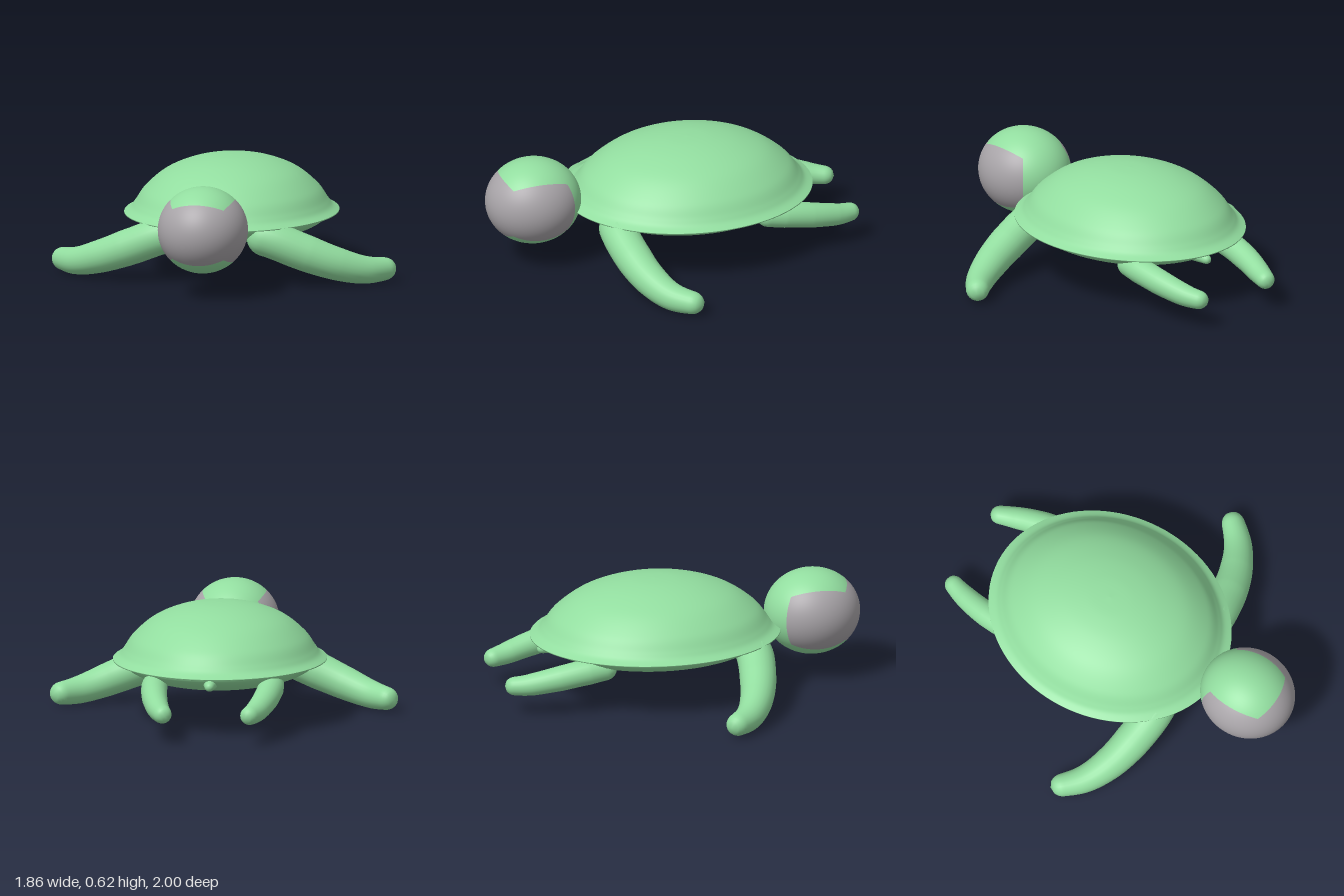
import * as THREE from 'three';
import { mergeVertices } from 'three/addons/utils/BufferGeometryUtils.js';

const green = new THREE.MeshStandardMaterial({ color: 0x92dd9f });
green.name = 'skin green';
const grey = new THREE.MeshStandardMaterial({ color: 0xa8a4a8 });
grey.name = 'face grey';

const v3 = (p, side = 1) => new THREE.Vector3(p[0] * side, p[1], p[2]);

function addMesh(parent, name, geometry, material) {
  const mesh = new THREE.Mesh(geometry, material);
  mesh.name = name;
  parent.add(mesh);
  return mesh;
}

// Lathed disc shape stretched to the oval outline of the body
function ovalLathe(points) {
  const geo = new THREE.LatheGeometry(points, 96);
  geo.scale(0.57, 1, 0.675);
  return geo.translate(0, 0, -0.12);
}

// Round limb along a curve, with changing thickness and domed ends
function limb(points, radii, side) {
  const curve = new THREE.CatmullRomCurve3(points.map((p) => v3(p, side)));
  const length = curve.getLength();
  let geo = new THREE.TubeGeometry(curve, 72, 1, 24);
  const pos = geo.attributes.position;
  const uv = geo.attributes.uv;
  const p = new THREE.Vector3();
  for (let i = 0; i < pos.count; i++) {
    const u = uv.getX(i);
    const f = Math.min(u * (radii.length - 1), radii.length - 1.0001);
    const k = Math.floor(f);
    let r = THREE.MathUtils.lerp(radii[k], radii[k + 1], f - k);
    const end = Math.min(1, (Math.min(u, 1 - u) * length) / r);
    r *= Math.sqrt(Math.max(0, 1 - (1 - end) ** 2));
    const c = curve.getPointAt(u);
    p.fromBufferAttribute(pos, i).sub(c).multiplyScalar(r).add(c);
    pos.setXYZ(i, p.x, p.y, p.z);
  }
  geo.deleteAttribute('uv');
  geo.deleteAttribute('normal');
  geo = mergeVertices(geo, 1e-5);
  geo.computeVertexNormals();
  return geo;
}

// Cube swollen into an ellipsoid, keeping six face regions
function sixFacedBall(rx, ry, rz) {
  const geo = new THREE.BoxGeometry(2, 2, 2, 20, 20, 20);
  const pos = geo.attributes.position;
  const n = new THREE.Vector3();
  for (let i = 0; i < pos.count; i++) {
    n.fromBufferAttribute(pos, i);
    n.set(...n.toArray().map((c) => Math.tan((c * Math.PI) / 4))).normalize();
    pos.setXYZ(i, n.x * rx, n.y * ry, n.z * rz);
    n.set(n.x / rx, n.y / ry, n.z / rz).normalize();
    geo.attributes.normal.setXYZ(i, n.x, n.y, n.z);
  }
  return geo;
}

export function createModel() {
  const turtle = new THREE.Group();
  turtle.name = 'turtle';

  // Domed shell with a flared rim
  const profile = [
    [1, 0.32], [0.94, 0.342], [0.895, 0.375], [0.81, 0.445],
    [0.635, 0.53], [0.42, 0.585], [0.2, 0.613], [0, 0.62],
  ].map(([x, y]) => new THREE.Vector2(x, y));
  const dome = new THREE.SplineCurve(profile).getPoints(48);
  dome[dome.length - 1].x = 0;
  addMesh(turtle, 'shell', ovalLathe(dome), green);

  // Underside of the rim
  const under = [[0.8, 0.325], [1, 0.315], [1, 0.32]].map(([x, y]) => new THREE.Vector2(x, y));
  addMesh(turtle, 'shellRimUnderside', ovalLathe(under), green);

  // Belly
  const belly = new THREE.SphereGeometry(1, 64, 32);
  belly.scale(0.52, 0.14, 0.62).translate(0, 0.32, -0.12);
  addMesh(turtle, 'belly', belly, green);

  // Head: grey on both sides and the front, green elsewhere
  const head = addMesh(turtle, 'head', sixFacedBall(0.24, 0.232, 0.258),
    [grey, grey, green, green, grey, green]);
  head.position.set(0, 0.362, 0.74);

  // Flippers
  const frontPath = [
    [0.17, 0.28, 0.34], [0.3, 0.25, 0.35], [0.45, 0.19, 0.33],
    [0.63, 0.12, 0.28], [0.78, 0.075, 0.2], [0.915, 0.068, 0.07],
  ];
  const rearPath = [
    [0.31, 0.25, -0.41], [0.31, 0.23, -0.58], [0.29, 0.195, -0.75],
    [0.255, 0.165, -0.89], [0.215, 0.155, -1.0],
  ];
  for (const [side, label] of [[1, 'left'], [-1, 'right']]) {
    addMesh(turtle, label + 'FrontFlipper',
      limb(frontPath, [0.1, 0.1, 0.098, 0.088, 0.073, 0.055], side), green);
    addMesh(turtle, label + 'RearFlipper',
      limb(rearPath, [0.06, 0.07, 0.068, 0.06, 0.045], side), green);
  }

  // Short tail
  addMesh(turtle, 'tail',
    limb([[0, 0.3, -0.55], [0, 0.285, -0.66], [0, 0.268, -0.77]], [0.06, 0.045, 0.02], 1), green);

  return turtle;
}
